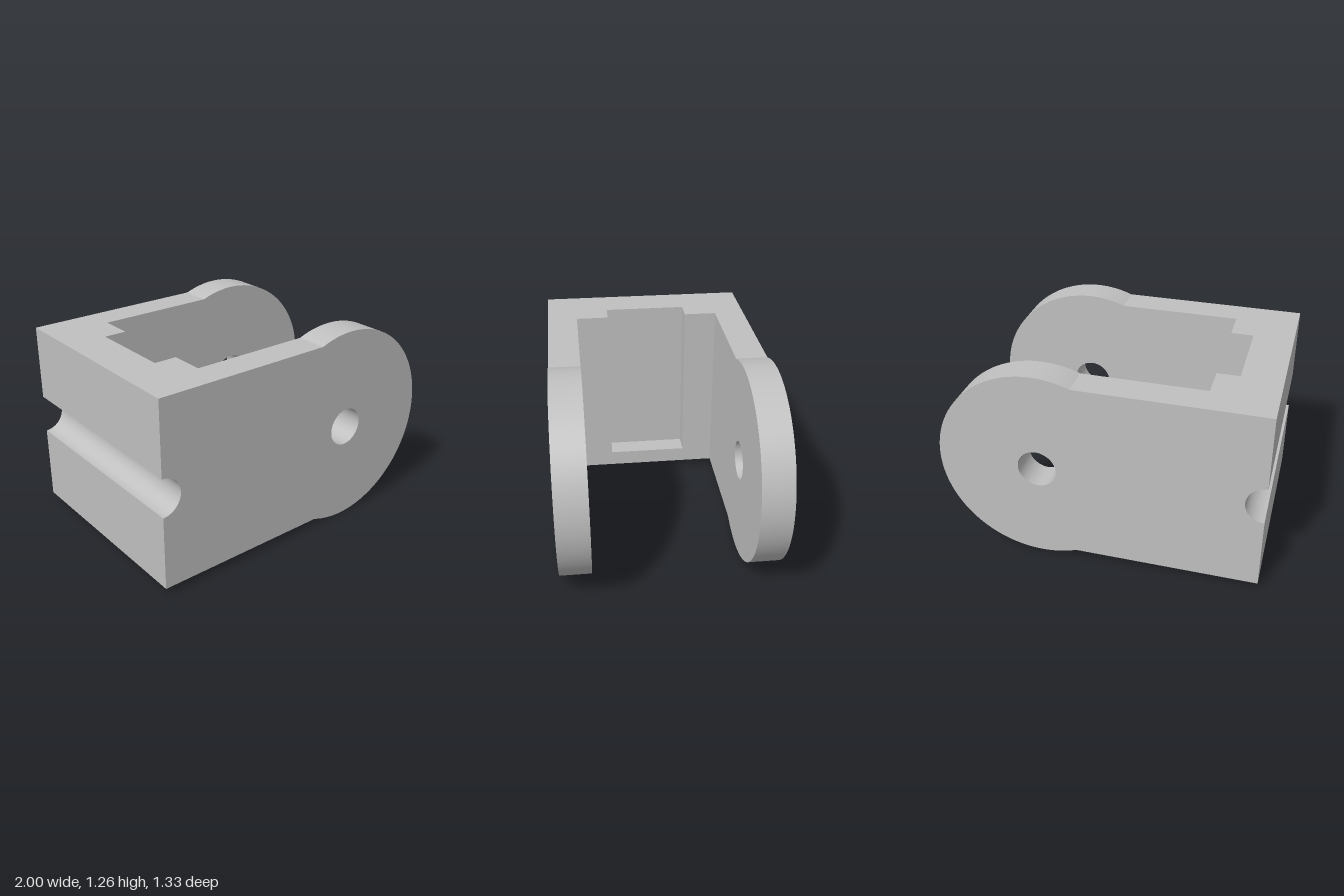
import * as THREE from 'three';
import { toCreasedNormals } from 'three/addons/utils/BufferGeometryUtils.js';

const BACK = -1, INNER = -0.61, POCKET = -0.75;     // x positions
const BOTTOM = 0.045, TOP = 1.215, AXIS = 0.63;      // y positions
const OUTER_Z = 0.667, CHEEK_Z = 0.473, POCKET_Z = 0.264;
const PIVOT_X = 0.372, PIVOT_R = 0.628, BORE_R = 0.12;
const POCKET_FLOOR = 0.147;

// Back edge with the half-round groove, drawn downwards
function addGroovedBack(shape) {
  shape.lineTo(BACK, TOP);
  shape.lineTo(BACK, AXIS + BORE_R);
  shape.absarc(BACK, AXIS, BORE_R, Math.PI / 2, -Math.PI / 2, true);
  shape.lineTo(BACK, BOTTOM);
}

// Side cheek: straight arm running into a round pivot eye
function cheekShape() {
  const h = TOP - AXIS;
  const dx = Math.sqrt(PIVOT_R * PIVOT_R - h * h);
  const a = Math.atan2(h, -dx);
  const s = new THREE.Shape();
  s.moveTo(BACK, BOTTOM);
  s.lineTo(PIVOT_X - dx, BOTTOM);
  s.absarc(PIVOT_X, AXIS, PIVOT_R, -a, a, false);
  addGroovedBack(s);
  const bore = new THREE.Path();
  bore.absarc(PIVOT_X, AXIS, BORE_R, 0, Math.PI * 2, true);
  s.holes.push(bore);
  return s;
}

// Wall between the cheeks, behind the pocket
function wallShape() {
  const s = new THREE.Shape();
  s.moveTo(BACK, BOTTOM);
  s.lineTo(POCKET, BOTTOM);
  s.lineTo(POCKET, TOP);
  addGroovedBack(s);
  return s;
}

function extrudeZ(shape, z0, z1) {
  const g = new THREE.ExtrudeGeometry(shape, { depth: z1 - z0, bevelEnabled: false, curveSegments: 72 });
  g.translate(0, 0, z0);
  return toCreasedNormals(g, 0.3);
}

function block(x0, x1, y0, y1, z0, z1) {
  const g = new THREE.BoxGeometry(x1 - x0, y1 - y0, z1 - z0);
  return g.translate((x0 + x1) / 2, (y0 + y1) / 2, (z0 + z1) / 2);
}

export function createModel() {
  const group = new THREE.Group();
  group.name = 'clevisBracket';
  const grey = new THREE.MeshStandardMaterial({ color: 0xc0c0c0 });
  grey.name = 'plainGrey';
  const add = (name, geometry) => {
    const mesh = new THREE.Mesh(geometry, grey);
    mesh.name = name;
    group.add(mesh);
  };

  // Two cheeks with pivot bores
  add('frontCheek', extrudeZ(cheekShape(), CHEEK_Z, OUTER_Z));
  add('rearCheek', extrudeZ(cheekShape(), -OUTER_Z, -CHEEK_Z));

  // Bridge with groove, and the frame around the open-topped pocket
  add('bridgeWall', extrudeZ(wallShape(), -CHEEK_Z, CHEEK_Z));
  add('frontPocketPost', block(POCKET, INNER, BOTTOM, TOP, POCKET_Z, CHEEK_Z));
  add('rearPocketPost', block(POCKET, INNER, BOTTOM, TOP, -CHEEK_Z, -POCKET_Z));
  add('pocketSill', block(POCKET, INNER, BOTTOM, POCKET_FLOOR, -POCKET_Z, POCKET_Z));

  return group;
}
